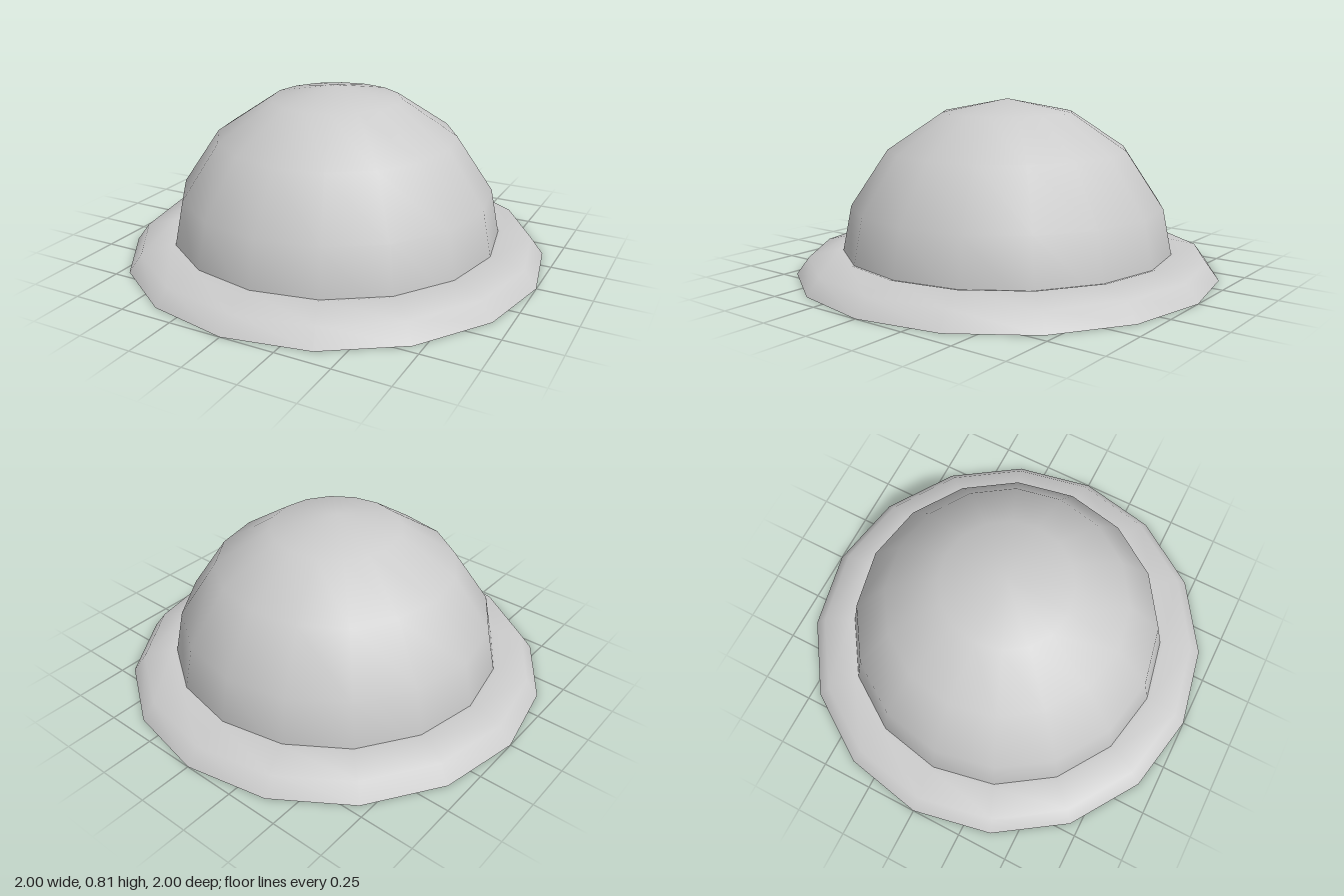
import * as THREE from 'three';

const SIDES = 16;

export function createModel() {
  const group = new THREE.Group();
  const material = new THREE.MeshStandardMaterial({ color: 0xcccccc });

  const add = (name, geometry, y = 0) => {
    const mesh = new THREE.Mesh(geometry, material);
    mesh.name = name;
    mesh.position.y = y;
    group.add(mesh);
    return mesh;
  };

  // Half-sphere crown, sunk slightly into the brim
  add('dome', new THREE.SphereGeometry(0.8, SIDES, 4, 0, Math.PI * 2, 0, Math.PI / 2), 0.015);
  add('domeBase', new THREE.CircleGeometry(0.8, SIDES).rotateX(Math.PI / 2), 0.015);

  // Brim: upper half of a flattened ring, from the outer edge over to the inner edge
  const profile = [];
  for (let i = 0; i <= 4; i++) {
    const a = (i * Math.PI) / 4;
    profile.push(new THREE.Vector2(0.8 + 0.2 * Math.cos(a), 0.113 * Math.sin(a)));
  }
  add('brim', new THREE.LatheGeometry(profile, SIDES));

  // Flat underside of the brim
  add('brimUnderside', new THREE.RingGeometry(0.6, 1, SIDES).rotateX(Math.PI / 2));

  return group;
}
